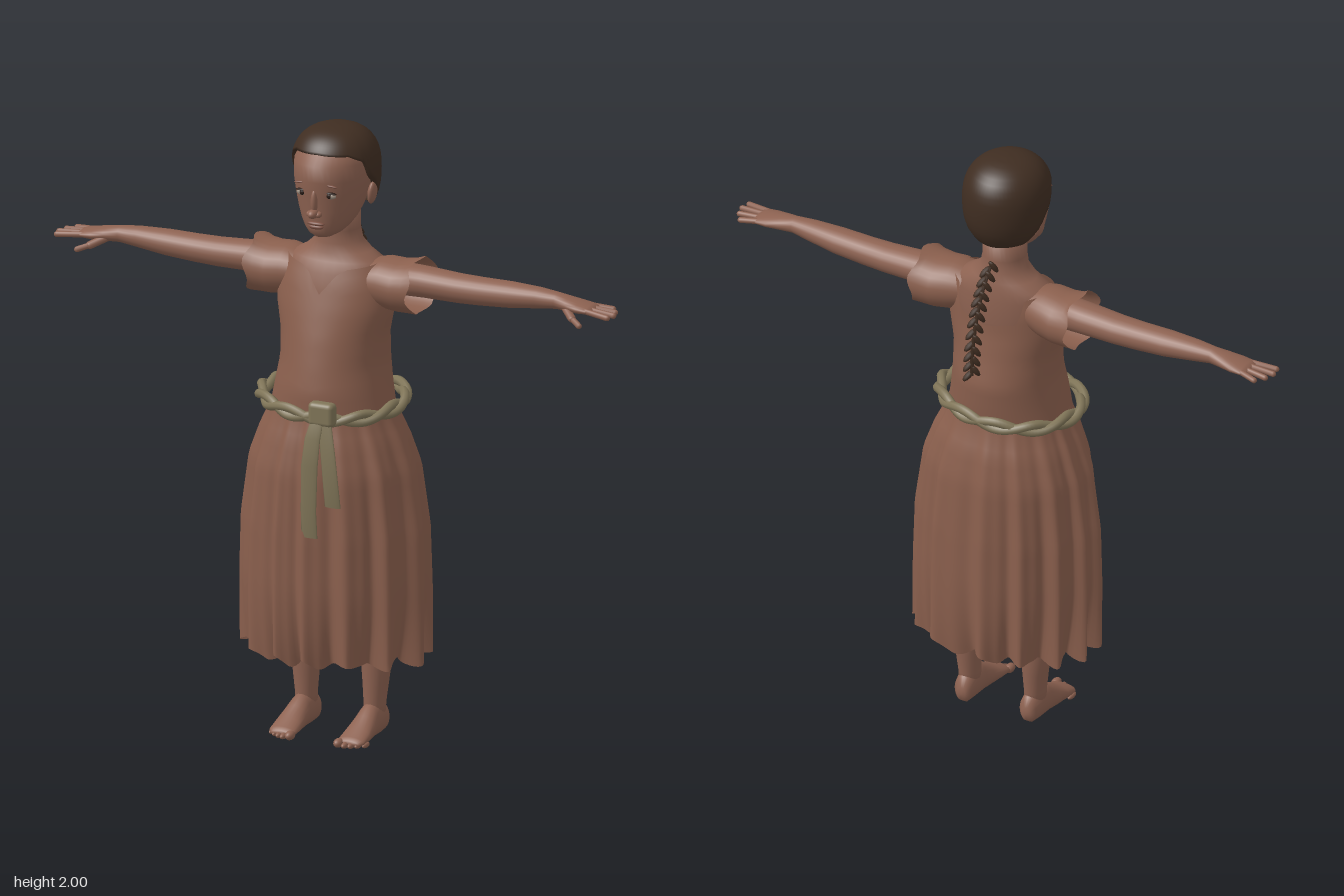
import * as THREE from 'three';
import { mergeGeometries } from 'three/addons/utils/BufferGeometryUtils.js';
import { RoundedBoxGeometry } from 'three/addons/geometries/RoundedBoxGeometry.js';

const V = (x, y, z) => new THREE.Vector3(x, y, z);
const mat = (name, color, side = THREE.FrontSide) =>
  Object.assign(new THREE.MeshStandardMaterial({ color, side }), { name });

// Skin over equal rings of points; optional fans close the ends.
function loft(rings, capped = true) {
  const n = rings[0].length, pos = [], idx = [];
  rings.forEach(r => r.forEach(p => pos.push(p.x, p.y, p.z)));
  for (let j = 0; j < rings.length - 1; j++) for (let i = 0; i < n; i++) {
    const a = j * n + i, b = j * n + (i + 1) % n;
    idx.push(a, b, a + n, b, b + n, a + n);
  }
  if (capped) [0, rings.length - 1].forEach((j, end) => {
    const c = rings[j].reduce((s, p) => s.add(p), V(0, 0, 0)).divideScalar(n);
    const k = pos.length / 3;
    pos.push(c.x, c.y, c.z);
    for (let i = 0; i < n; i++) {
      const a = j * n + i, b = j * n + (i + 1) % n;
      end ? idx.push(a, b, k) : idx.push(b, a, k);
    }
  });
  const g = new THREE.BufferGeometry();
  g.setAttribute('position', new THREE.Float32BufferAttribute(pos, 3));
  g.setIndex(idx);
  g.computeVertexNormals();
  return g;
}

const loop = (n, f) => Array.from({ length: n }, (_, i) => f(i / n * Math.PI * 2, i));
// Horizontal section: half width, front z, back z, centre x; angle 0 is the front.
const flat = ([y, rx, zf, zb, cx = 0], a) =>
  V(cx + rx * Math.sin(a), y, (zf + zb) / 2 + (zf - zb) / 2 * Math.cos(a));
const upright = (rows, n = 32) => loft(rows.map(r => loop(n, a => flat(r, a))));

// Piecewise linear lookup in a table sorted by its first column.
function sample(table, t) {
  let i = 0;
  while (i < table.length - 2 && t > table[i + 1][0]) i++;
  const [p, q] = [table[i], table[i + 1]];
  const k = THREE.MathUtils.clamp((t - p[0]) / (q[0] - p[0]), 0, 1);
  return p.map((v, c) => v + (q[c] - v) * k);
}
const degrees = a => 180 - Math.abs(180 - a * 180 / Math.PI);

function ball(x, y, z, sx, sy, sz, rz = 0) {
  return new THREE.SphereGeometry(1, 20, 14).scale(sx, sy, sz).rotateZ(rz).translate(x, y, z);
}
function rod(a, b, r) {
  const d = b.clone().sub(a);
  const g = new THREE.CapsuleGeometry(r, d.length(), 4, 10);
  g.applyQuaternion(new THREE.Quaternion().setFromUnitVectors(V(0, 1, 0), d.normalize()));
  const m = a.clone().add(b).multiplyScalar(0.5);
  return g.translate(m.x, m.y, m.z);
}
function mirrored(g) {
  const m = g.clone().scale(-1, 1, 1), ix = m.index.array;
  for (let i = 0; i < ix.length; i += 3) [ix[i], ix[i + 1]] = [ix[i + 1], ix[i]];
  return m;
}

export function createModel() {
  const skin = mat('skin', 0x8d6251), cloth = mat('dress cloth', 0x8a5f4d, THREE.DoubleSide);
  const hair = mat('hair', 0x3f2d21, THREE.DoubleSide), sash = mat('sash cloth', 0x807558);
  const lip = mat('lips', 0x7b5042), white = mat('eye white', 0x9a8c7e), dark = mat('dark eye', 0x2a1c16);
  const model = new THREE.Group();
  const add = (name, g, m) => {
    const mesh = new THREE.Mesh(g, m);
    mesh.name = name;
    model.add(mesh);
  };
  const pair = (name, g, m) => {
    add('left ' + name, g, m);
    add('right ' + name, mirrored(g), m);
  };

  // Head, neck and shoulders
  add('head', upright([
    [1.66, .03, .108, .03], [1.672, .052, .124, -.01], [1.69, .07, .13, -.04], [1.715, .086, .133, -.07],
    [1.75, .1, .137, -.1], [1.8, .113, .143, -.125], [1.85, .12, .151, -.14], [1.9, .12, .146, -.14],
    [1.935, .106, .113, -.12], [1.97, .06, .06, -.08]], 40), skin);
  add('neck and shoulders', upright([
    [1.3, .15, .11, -.12], [1.45, .17, .1, -.13], [1.53, .18, .08, -.125], [1.565, .155, .06, -.12],
    [1.59, .11, .05, -.115], [1.62, .077, .044, -.107], [1.66, .07, .042, -.1], [1.73, .07, .045, -.1]]), skin);

  // Face
  add('nose', mergeGeometries([ball(0, 1.748, .15, .016, .015, .024), ball(0, 1.785, .142, .011, .04, .014),
    ball(.015, 1.745, .142, .011, .01, .014), ball(-.015, 1.745, .142, .011, .01, .014)]), skin);
  add('lips', mergeGeometries([ball(0, 1.711, .131, .03, .007, .011), ball(0, 1.7, .13, .026, .008, .011)]), lip);
  pair('ear', ball(.122, 1.788, -.022, .013, .038, .024, -.12), skin);
  pair('eye', ball(.048, 1.807, .127, .021, .01, .009), white);
  pair('iris', ball(.047, 1.808, .132, .009, .009, .006), dark);
  pair('upper eyelid', ball(.048, 1.817, .129, .023, .004, .009, -.08), dark);
  pair('eyebrow', ball(.05, 1.842, .134, .026, .004, .006, -.08), lip);

  // Close-cropped hair with a shaped hairline
  const hairline = [[0, 1.935], [45, 1.93], [68, 1.905], [80, 1.85], [90, 1.83], [100, 1.79], [120, 1.74], [180, 1.725]];
  const hairPoint = (a, t, k = 1) => {
    const low = sample(hairline, degrees(a))[1], y = low + (2 - low) * Math.sin(t * Math.PI / 2);
    const h = Math.abs(y - 1.86) / (y > 1.86 ? .14 : .17);
    const r = k * Math.pow(Math.max(0, 1 - h ** 2.5), 1 / 2.5);
    return V(.14 * r * Math.sin(a), y, -.013 + .152 * r * Math.cos(a));
  };
  const hairRows = [loop(64, a => hairPoint(a, 0, .86))];
  for (let j = 0; j <= 14; j++) hairRows.push(loop(64, a => hairPoint(a, j / 14)));
  add('hair', loft(hairRows, false), hair);

  // Braid of overlapping tilted locks
  const braidPath = new THREE.CatmullRomCurve3([V(0, 1.65, -.12), V(0, 1.58, -.17), V(0, 1.5, -.203),
    V(0, 1.4, -.226), V(0, 1.31, -.232)]);
  const locks = [];
  for (let i = 0; i < 22; i++) {
    const p = braidPath.getPoint(i / 21), s = i % 2 ? 1 : -1;
    locks.push(new THREE.SphereGeometry(1, 8, 6).scale(.01, .024, .009)
      .rotateX(s * .5 + .2).rotateZ(s * .55).translate(p.x + s * .009, p.y, p.z - s * .006));
  }
  add('braid', mergeGeometries([...locks, new THREE.TubeGeometry(braidPath, 20, .007, 6)]), hair);

  // Bodice with a V neck in front and a low square neck behind
  const bodice = [[1.09, .2, .185, -.175], [1.16, .186, .185, -.182], [1.24, .173, .17, -.187], [1.33, .176, .15, -.166],
    [1.42, .196, .125, -.15], [1.5, .198, .1, -.145], [1.56, .175, .076, -.135], [1.6, .15, .06, -.125]];
  const neckline = [[0, 1.47], [14, 1.53], [25, 1.55], [90, 1.578], [138, 1.555], [150, 1.47], [180, 1.45]];
  const bodiceRows = [];
  for (let j = 0; j <= 18; j++) bodiceRows.push(loop(96, a => {
    const y = 1.09 + (sample(neckline, degrees(a))[1] - 1.09) * j / 18;
    return flat([y, ...sample(bodice, y).slice(1)], a);
  }));
  add('bodice', loft(bodiceRows, false), cloth);

  // Sections across the arm axis
  const across = (rows, n, edge = () => 0) => rows.map(([x, y, z, ry, rz], j) =>
    loop(n, a => V(x + edge(a, j), y + ry * Math.cos(a), z + rz * Math.sin(a))));
  pair('sleeve', loft(across([[.12, 1.5, -.03, .07, .085], [.17, 1.498, -.033, .083, .097], [.22, 1.493, -.036, .084, .103],
    [.26, 1.496, -.037, .087, .104], [.285, 1.5, -.037, .092, .106]], 32,
  (a, j) => j === 4 ? .009 * Math.cos(5 * a) : 0), false), cloth);
  pair('arm', loft(across([[.15, 1.515, -.037, .055, .06], [.3, 1.514, -.038, .05, .058], [.42, 1.51, -.038, .047, .053],
    [.5, 1.511, -.038, .045, .05], [.6, 1.515, -.037, .042, .048], [.7, 1.52, -.035, .034, .039],
    [.765, 1.521, -.033, .027, .03], [.81, 1.517, -.031, .023, .04], [.85, 1.513, -.03, .019, .047],
    [.885, 1.511, -.03, .014, .047], [.9, 1.51, -.03, .008, .04]], 24)), skin);
  const fingers = [[.925, .965, .022], [.925, .972, -.006], [.925, .962, -.036], [.91, .94, -.064]].map(([, tip, z]) =>
    rod(V(.875, 1.512, -.03 + (z + .022) * .75), V(tip, 1.505, -.03 + (z + .022) * 1.1), .0095));
  pair('fingers', mergeGeometries([...fingers, rod(V(.805, 1.508, -.01), V(.845, 1.488, .025), .013),
    rod(V(.845, 1.488, .025), V(.88, 1.475, .046), .0095)]), skin);

  // Pleated skirt with a ragged hem
  const skirt = [[.27, .318, .245, -.265], [.5, .318, .245, -.258], [.7, .312, .242, -.252], [.9, .283, .23, -.235],
    [1.0, .245, .21, -.212], [1.06, .215, .192, -.188], [1.11, .197, .182, -.174]];
  const skirtRows = [];
  for (let j = 0; j <= 30; j++) skirtRows.push(loop(224, a => {
    const p = 14 * a + 1.1 * Math.sin(3 * a) + .6 * Math.cos(5 * a);
    const fold = .5 - .5 * (Math.sin(p) + .35 * Math.sin(2 * p)) / 1.15;
    const hem = .285 + .022 * Math.sin(p + 1) * Math.cos(2 * a + .4);
    const y = hem + (1.11 - hem) * j / 30;
    const low = Math.max(0, (.58 - y) / .3), depth = .004 + .022 * Math.min(1, (1.11 - y) / .4) + .035 * low * low;
    const [, rx, zf, zb] = sample(skirt, y), d = depth * fold;
    return flat([y, rx - d, zf - d, zb + d], a);
  }));
  add('skirt', loft(skirtRows, false), cloth);

  // Twisted sash, knot and hanging tails
  for (const s of [0, 1]) {
    const pts = loop(64, a => {
      const w = a * 6 + s * Math.PI;
      const q = flat([0, .233 + .01 * Math.cos(w), .205, -.188], a);
      return V(q.x, 1.112 + .013 * Math.sin(w) - .012 * Math.cos(a) + .008 * Math.cos(2 * a + 2), q.z);
    });
    add('sash strand ' + (s + 1), new THREE.TubeGeometry(new THREE.CatmullRomCurve3(pts, true), 128, .015, 8, true), sash);
  }
  add('sash knot', new RoundedBoxGeometry(.088, .078, .045, 3, .016).translate(.066, 1.117, .217), sash);
  const tail = (rows) => upright(rows.map(([y, x, z, w]) => [y, w, z + .005, z - .005, x]), 12);
  add('long sash tail', tail([[.71, .03, .236, .028], [.8, .03, .243, .027], [.95, .037, .251, .029],
    [1.04, .045, .245, .027], [1.1, .055, .23, .022]]), sash);
  add('short sash tail', tail([[.82, .112, .236, .028], [.9, .108, .244, .027], [1.0, .098, .244, .026],
    [1.1, .08, .228, .022]]), sash);

  // Legs and bare feet
  pair('leg', upright([[.05, .034, 0, -.085, .12], [.1, .034, -.002, -.085, .12], [.17, .041, 0, -.092, .122],
    [.28, .053, .006, -.1, .125], [.45, .055, .02, -.09, .125], [.8, .08, .06, -.09, .12]], 24), skin);
  const foot = [[-.1, .119, .035, .016, .02], [-.088, .119, .045, .03, .042], [-.05, .12, .055, .036, .055],
    [0, .12, .05, .037, .05], [.04, .121, .038, .042, .038], [.085, .121, .026, .047, .024], [.125, .12, .018, .046, .015], [.14, .118, .015, .035, .009]];
  pair('foot', loft(foot.map(([z, x, y, rx, ry]) =>
    loop(24, a => V(x + rx * Math.cos(a), Math.max(.004, y + ry * 1.1 * Math.sin(a)), z)))), skin);
  const toes = [];
  for (let i = 0; i < 5; i++) {
    const r = i ? .0105 - i * .0004 : .015;
    toes.push(ball(.085 + i * .0185 + (i ? .004 : 0), r, .142 - i * i * .0022, r, r, .022));
  }
  pair('toes', mergeGeometries(toes), skin);

  return model;
}
